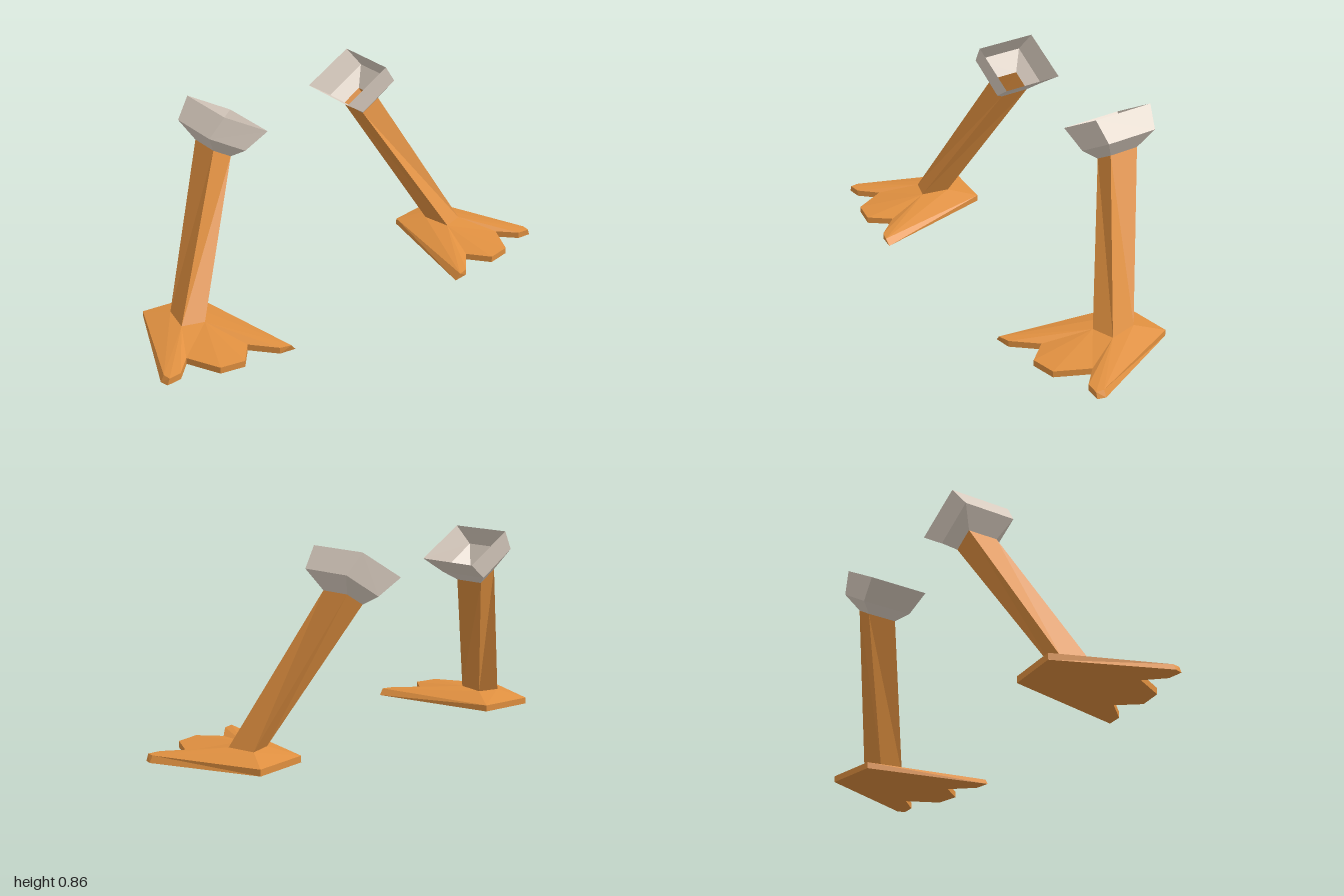
import * as THREE from 'three';

const orange = new THREE.MeshStandardMaterial({ color: 0xe09040, flatShading: true, side: THREE.DoubleSide });
orange.name = 'orange skin';
const cream = new THREE.MeshStandardMaterial({ color: 0xdccfc2, flatShading: true, side: THREE.DoubleSide });
cream.name = 'cream cuff';

// Foot outline on the ground [x, z], clockwise from the outer heel corner
const OUTLINE = [
  [0.805, -0.206], [1.0, 0.245], [0.99, 0.28], [0.925, 0.275], // heel, outer toe
  [0.85, 0.2], [0.78, 0.34], [0.675, 0.36], [0.6, 0.27],       // notch, middle toe, notch
  [0.51, 0.37], [0.44, 0.38], [0.565, -0.175],                 // inner toe, inner heel
];
// Four-sided rings, clockwise from back outer: ankle, leg top, cuff middle, cuff rim
const ANKLE = [[0.74, 0.06, -0.09], [0.765, 0.06, 0.035], [0.67, 0.06, 0.065], [0.645, 0.06, -0.06]];
const ring = (xo, yo, xi, yi, back, front) =>
  [[xo, yo, back], [xo, yo, front], [xi, yi, front], [xi, yi, back]];
const LEG_TOP = ring(0.44, 0.683, 0.355, 0.632, -0.312, -0.177);
const CUFF_MID = ring(0.49, 0.77, 0.315, 0.665, -0.361, -0.127);
const CUFF_RIM = ring(0.425, 0.855, 0.212, 0.732, -0.384, -0.108);

// Walls joining two rings of equal count
function band(low, up) {
  const tris = [];
  low.forEach((p, i) => {
    const j = (i + 1) % low.length;
    tris.push([p, up[i], up[j]], [p, up[j], low[j]]);
  });
  return tris;
}

// Mesh from triangles; side -1 mirrors it and keeps the faces outward
function triMesh(name, tris, material, side) {
  const pos = [];
  for (const [a, b, c] of tris)
    for (const p of side > 0 ? [a, b, c] : [a, c, b]) pos.push(p[0] * side, p[1], p[2]);
  const g = new THREE.BufferGeometry();
  g.setAttribute('position', new THREE.Float32BufferAttribute(pos, 3));
  g.computeVertexNormals();
  const m = new THREE.Mesh(g, material);
  m.name = name;
  return m;
}

function footTris() {
  const low = OUTLINE.map(([x, z]) => [x, 0, z]);
  const up = OUTLINE.map(([x, z]) => [x, 0.028, z]);
  // The outermost and innermost toe tips lean in slightly at the top
  up[1][0] = 0.985;
  up[2][0] = 0.98;
  up[9] = [0.462, 0.028, 0.384];
  const tris = band(low, up);

  // Webbed top: each ankle corner fans out to a run of outline points
  const runs = [[0, 1], [1, 4], [4, 9], [9, 10]];
  runs.forEach(([from, to], k) => {
    const a = ANKLE[k];
    for (let i = from; i < to; i++) tris.push([a, up[i + 1], up[i]]);
    tris.push([a, ANKLE[(k + 1) % 4], up[to]]);
  });
  tris.push([ANKLE[0], up[0], up[10]]);

  // Flat sole
  const pts = OUTLINE.map(([x, z]) => new THREE.Vector2(x, z));
  for (const [i, j, k] of THREE.ShapeUtils.triangulateShape(pts, [])) {
    const down = THREE.ShapeUtils.area([pts[i], pts[j], pts[k]]) > 0;
    tris.push(down ? [low[i], low[j], low[k]] : [low[i], low[k], low[j]]);
  }
  return tris;
}

export function createModel() {
  const model = new THREE.Group();
  model.name = 'webbedFeet';
  for (const side of [1, -1]) {
    const limb = new THREE.Group();
    limb.name = side > 0 ? 'leftLimb' : 'rightLimb';
    limb.add(
      triMesh('foot', footTris(), orange, side),
      triMesh('leg', band(ANKLE, LEG_TOP), orange, side),
      // Open, flared cuff around the top of the leg
      triMesh('cuff', [...band(LEG_TOP, CUFF_MID), ...band(CUFF_MID, CUFF_RIM)], cream, side),
    );
    model.add(limb);
  }
  return model;
}
